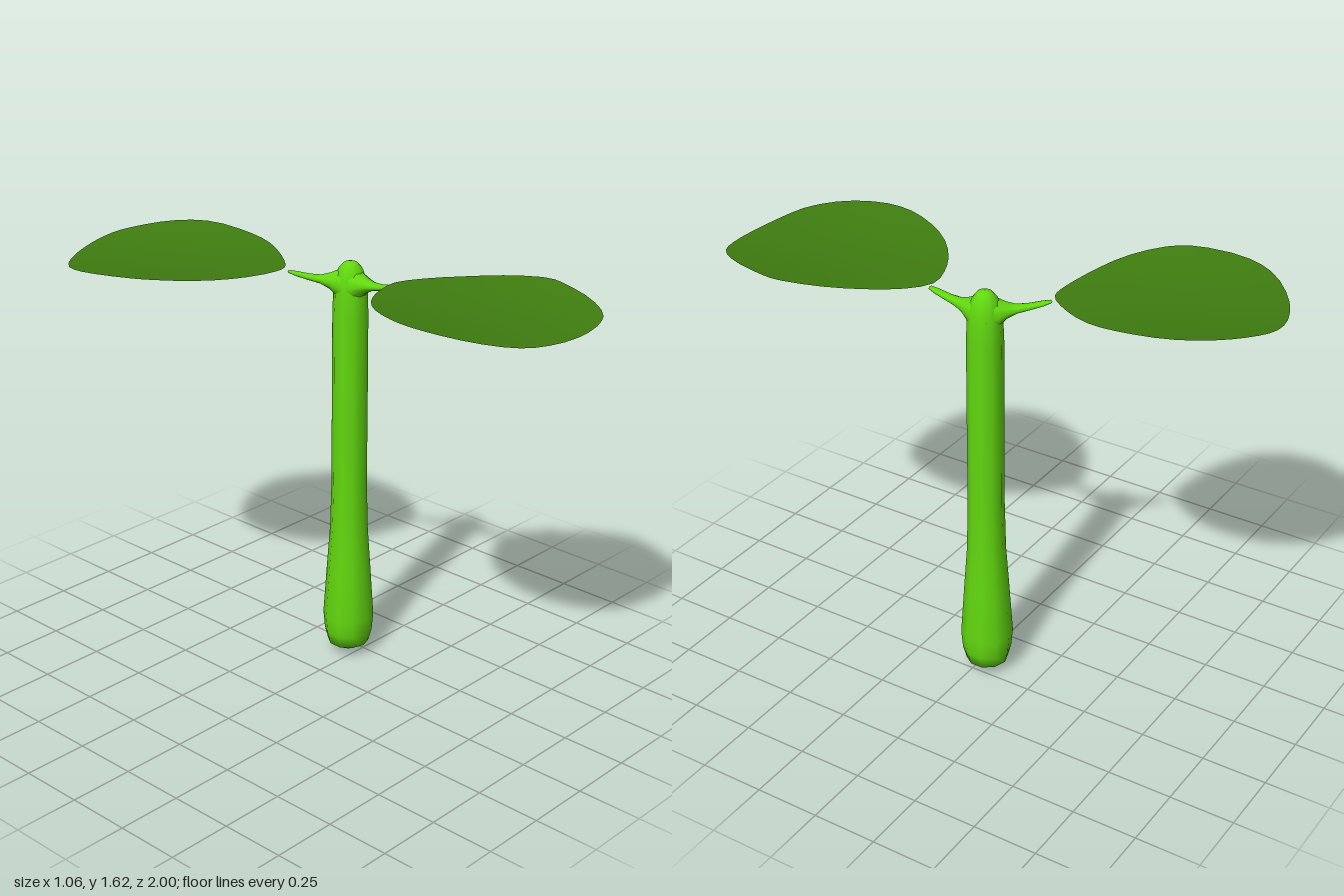
import * as THREE from 'three';

const stemMaterial = new THREE.MeshStandardMaterial({ color: 0x62d80f, side: THREE.DoubleSide });
const leafMaterial = new THREE.MeshStandardMaterial({ color: 0x3f7d10, side: THREE.DoubleSide });

function named(name, geometry, material) {
  const mesh = new THREE.Mesh(geometry, material);
  mesh.name = name;
  return mesh;
}

function indexed(positions, index) {
  const g = new THREE.BufferGeometry();
  g.setAttribute('position', new THREE.Float32BufferAttribute(positions, 3));
  g.setIndex(index);
  g.computeVertexNormals();
  return g;
}

// Tapered stalk: sections are [distance outward, height, half height, half width]
function stalk(sections, angle, sides = 10) {
  const pos = [], idx = [];
  const dx = Math.sin(angle), dz = Math.cos(angle);
  sections.forEach(([d, y, h, w], i) => {
    for (let j = 0; j < sides; j++) {
      const a = (j / sides) * Math.PI * 2;
      const side = Math.cos(a) * w;
      pos.push(d * dx + side * dz, y + Math.sin(a) * h, d * dz - side * dx);
      if (i === 0) continue;
      const k = (j + 1) % sides, p = (i - 1) * sides, q = i * sides;
      idx.push(p + j, q + j, q + k, p + j, q + k, p + k);
    }
  });
  return indexed(pos, idx);
}

// Thin cupped leaf: rings shrinking from a smooth outline to the centre, top and underside
function leaf(outline, centre, axisAngle) {
  const curve = new THREE.CatmullRomCurve3(
    outline.map(([x, z]) => new THREE.Vector3(x, 0, z)), true, 'centripetal');
  const n = 40, rings = 6, pos = [], idx = [];
  const edge = curve.getPoints(n).slice(0, n);
  const dx = Math.sin(axisAngle), dz = Math.cos(axisAngle);
  for (const top of [true, false]) {
    const base = pos.length / 3;
    for (let r = 0; r <= rings; r++) {
      const s = r / rings;
      for (let j = 0; j < n; j++) {
        const x = (edge[j].x - centre[0]) * s, z = (edge[j].z - centre[1]) * s;
        const across = (x * dz - z * dx) / 0.37, along = (x * dx + z * dz) / 0.4;
        // sides curl up, tip droops a little
        const y = 1.584 + 0.038 * across * across - 0.006 * Math.max(along, 0) ** 2;
        const thick = 0.006 * (1 - s ** 4);
        pos.push(centre[0] + x, y + (top ? thick : -thick), centre[1] + z);
        if (r === 0) continue;
        const k = (j + 1) % n, p = base + (r - 1) * n, q = base + r * n;
        if (top) idx.push(p + j, q + k, q + j, p + j, p + k, q + k);
        else idx.push(p + j, q + j, q + k, p + j, q + k, p + k);
      }
    }
  }
  // make the upper side face up whichever way the outline runs
  const area = edge.reduce((sum, p, j) => {
    const q = edge[(j + 1) % n];
    return sum + p.x * q.z - q.x * p.z;
  }, 0);
  if (area < 0) {
    for (let i = 0; i < idx.length; i += 3) [idx[i], idx[i + 1]] = [idx[i + 1], idx[i]];
  }
  // turn so that triangles wound by the outline direction face outward
  const g = indexed(pos, idx);
  if (g.attributes.normal.getY(3 * n) < 0) {
    for (let i = 0; i < idx.length; i += 3) [idx[i], idx[i + 1]] = [idx[i + 1], idx[i]];
    return indexed(pos, idx);
  }
  return g;
}

export function createModel() {
  const group = new THREE.Group();
  group.name = 'seedling';

  // Sprout: stem with a rounded bud and two leaf stalks
  const sprout = new THREE.Group();
  sprout.name = 'sprout';
  sprout.position.set(0.203, 0, -0.037);
  const profile = [
    [0, 0.005], [0.08, 0.05], [0.093, 0.1], [0.099, 0.17], [0.085, 0.38], [0.073, 0.55],
    [0.068, 0.75], [0.068, 1.05], [0.067, 1.42], [0.064, 1.5], [0.058, 1.55],
    [0.045, 1.59], [0.025, 1.612], [0, 1.618],
  ].map(([r, y]) => new THREE.Vector2(r, y));
  sprout.add(named('stem', new THREE.LatheGeometry(profile, 10), stemMaterial));

  const sections = [
    [0, 1.515, 0.08, 0.06], [0.045, 1.53, 0.052, 0.05], [0.075, 1.538, 0.03, 0.036],
    [0.11, 1.543, 0.016, 0.025], [0.15, 1.549, 0.012, 0.019], [0.2, 1.56, 0.009, 0.016],
    [0.228, 1.567, 0.005, 0.011], [0.234, 1.568, 0, 0],
  ];
  sprout.add(named('frontStalk', stalk(sections, 0), stemMaterial));
  sprout.add(named('backStalk', stalk(sections, Math.PI + 0.62), stemMaterial));
  group.add(sprout);

  // Leaves
  const frontOutline = [
    [0.2, 0.18], [0.3, 0.24], [0.4, 0.355], [0.48, 0.48], [0.53, 0.62], [0.52, 0.7],
    [0.47, 0.85], [0.4, 0.95], [0.32, 0.985], [0.2, 0.998], [0.05, 0.98], [-0.06, 0.94],
    [-0.15, 0.84], [-0.2, 0.7], [-0.205, 0.58], [-0.17, 0.46], [-0.1, 0.34], [0, 0.25], [0.1, 0.2],
  ];
  const backOutline = [
    [0, -0.22], [0.06, -0.232], [0.135, -0.32], [0.2, -0.45], [0.215, -0.58], [0.19, -0.76],
    [0.11, -0.88], [0, -0.96], [-0.1, -0.998], [-0.225, -0.985], [-0.38, -0.91], [-0.5, -0.79],
    [-0.533, -0.67], [-0.5, -0.49], [-0.445, -0.4], [-0.315, -0.3], [-0.155, -0.243],
  ];
  group.add(named('frontLeaf', leaf(frontOutline, [0.165, 0.61], 0), leafMaterial));
  group.add(named('backLeaf', leaf(backOutline, [-0.16, -0.61], Math.PI + 0.47), leafMaterial));
  return group;
}
